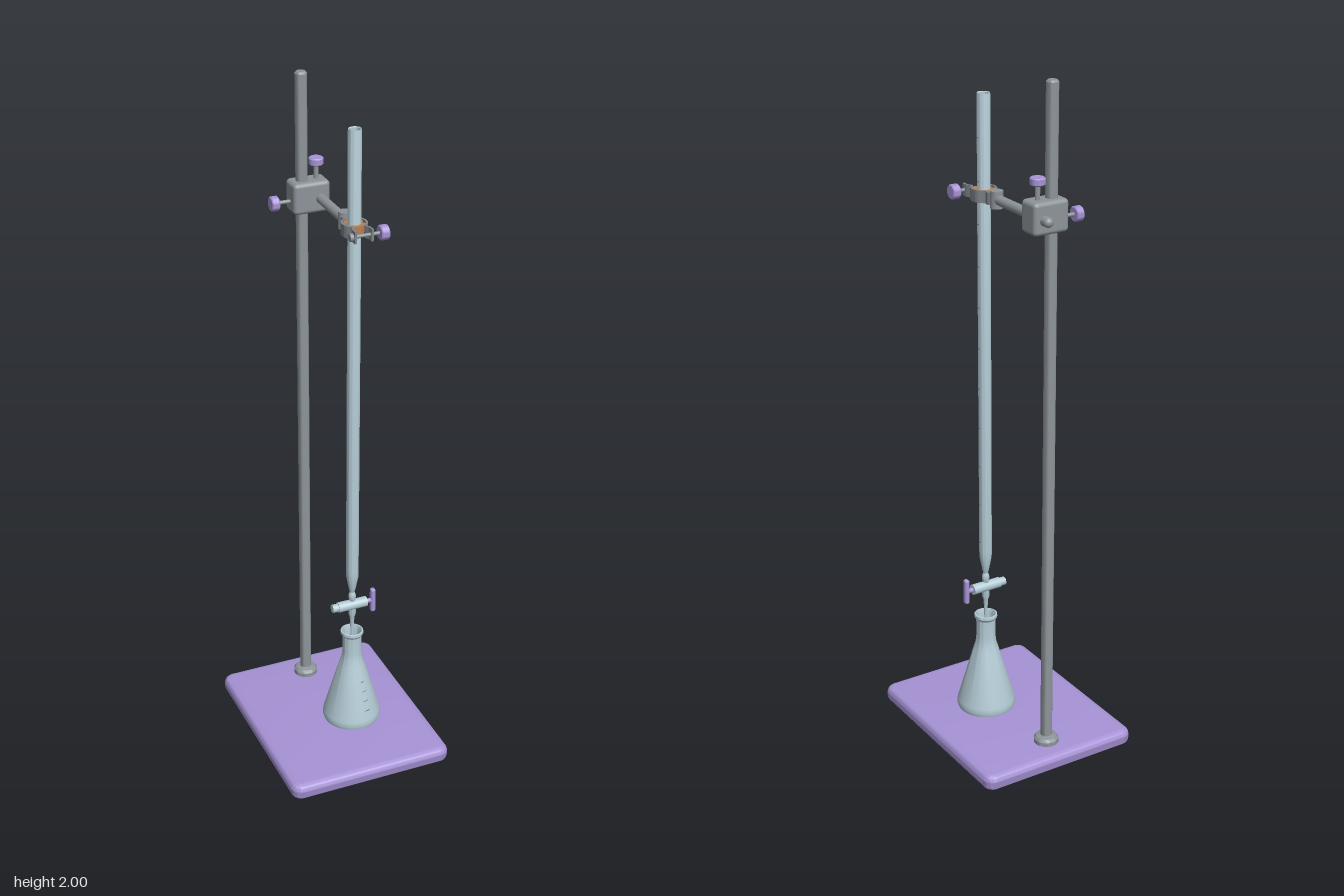
import * as THREE from 'three';
import { toCreasedNormals } from 'three/addons/utils/BufferGeometryUtils.js';
import { RoundedBoxGeometry } from 'three/addons/geometries/RoundedBoxGeometry.js';

const mat = (name, color, side = THREE.FrontSide) => {
  const m = new THREE.MeshStandardMaterial({ color, side });
  m.name = name;
  return m;
};

export function createModel() {
  const root = new THREE.Group();
  root.name = 'titrationStand';
  const lilac = mat('lilac', 0xa793d6);
  const metal = mat('metal', 0x8d9499);
  const jawMetal = mat('jawMetal', 0x7d848a);
  const glass = mat('glass', 0xb3cad4, THREE.DoubleSide);
  const cork = mat('cork', 0xb9804f);
  const ink = mat('ink', 0x56626b, THREE.DoubleSide);

  const RX = 0, RZ = -0.222;       // upright rod axis
  const BX = 0.043, BZ = 0.042;    // burette axis
  const CY = 1.645;                // clamp height

  const add = (name, geo, material, x = 0, y = 0, z = 0, parent = root) => {
    const m = new THREE.Mesh(geo, material);
    m.name = name;
    m.position.set(x, y, z);
    parent.add(m);
    return m;
  };
  const lathe = (pts, seg = 40) => toCreasedNormals(
    new THREE.LatheGeometry(pts.map(p => new THREE.Vector2(p[0], p[1])), seg), 0.6);
  // Cylinder running from a to b along one axis
  const bar = (name, axis, a, b, r, material, x, y, z) => {
    const g = new THREE.CylinderGeometry(r, r, b - a, 28);
    if (axis === 'x') g.rotateZ(-Math.PI / 2);
    if (axis === 'z') g.rotateX(Math.PI / 2);
    const p = { x, y, z };
    p[axis] = (a + b) / 2;
    return add(name, g, material, p.x, p.y, p.z);
  };
  // Knob with softened rims, along x or y
  const knob = (name, axis, a, b, r, x, y, z) => {
    const h = b - a, c = 0.003;
    const g = lathe([[0, -h / 2], [r - c, -h / 2], [r, -h / 2 + c], [r, h / 2 - c], [r - c, h / 2], [0, h / 2]], 28);
    if (axis === 'x') g.rotateZ(-Math.PI / 2);
    const p = { x, y, z };
    p[axis] = (a + b) / 2;
    return add(name, g, lilac, p.x, p.y, p.z);
  };

  // Base plate: rounded outline with rolled edges
  const w = 0.23, d = 0.288, c = 0.012;
  const plate = new THREE.Shape();
  plate.moveTo(-w + c, -d);
  plate.lineTo(w - c, -d);
  plate.absarc(w - c, -d + c, c, -Math.PI / 2, 0);
  plate.absarc(w - c, d - c, c, 0, Math.PI / 2);
  plate.absarc(-w + c, d - c, c, Math.PI / 2, Math.PI);
  plate.absarc(-w + c, -d + c, c, Math.PI, Math.PI * 1.5);
  const base = new THREE.ExtrudeGeometry(plate, {
    depth: 0.01, bevelEnabled: true, bevelThickness: 0.02, bevelSize: 0.02, bevelSegments: 6, curveSegments: 8,
  });
  base.rotateX(-Math.PI / 2);
  add('base', toCreasedNormals(base, 0.7), lilac, 0, 0.02, 0);

  // Upright rod and its foot collar
  add('uprightRod', lathe([[0.017, 0.04], [0.017, 1.995], [0.013, 2], [0, 2]], 32), metal, RX, 0, RZ);
  add('rodCollar', lathe([[0.036, 0.045], [0.036, 0.062], [0.03, 0.07], [0.017, 0.074]], 32), metal, RX, 0, RZ);

  // Boss head with two clamping screws and the horizontal arm
  add('bossHead', new RoundedBoxGeometry(0.108, 0.09, 0.069, 4, 0.012), metal, 0.019, 1.648, RZ);
  bar('sideScrew', 'x', -0.075, -0.03, 0.0055, metal, 0, 1.636, RZ);
  knob('sideKnob', 'x', -0.093, -0.07, 0.021, 0, 1.636, RZ);
  bar('topScrew', 'y', 1.68, 1.737, 0.007, metal, BX, 0, RZ);
  knob('topKnob', 'y', 1.732, 1.753, 0.021, BX, 0, RZ);
  const arm = new THREE.CapsuleGeometry(0.014, 0.235, 8, 24);
  arm.rotateX(Math.PI / 2);
  add('clampArm', arm, metal, BX, CY, -0.155);
  bar('jawHinge', 'y', CY - 0.024, CY + 0.024, 0.018, metal, BX, 0, -0.023);

  // Curved jaws: a band of constant thickness along a plan path
  const path = new THREE.CatmullRomCurve3([
    [0.007, -0.062], [0.016, -0.047], [0.013, -0.034], [0.027, -0.02], [0.033, 0],
    [0.028, 0.019], [0.018, 0.032], [0.024, 0.048], [0.024, 0.066],
  ].map(p => new THREE.Vector3(p[0], -p[1], 0)));
  for (const s of [1, -1]) {
    const outer = [], inner = [];
    for (let i = 0; i <= 40; i++) {
      const p = path.getPoint(i / 40), t = path.getTangent(i / 40);
      outer.push(new THREE.Vector2(s * (p.x - t.y * 0.003), p.y + t.x * 0.003));
      inner.push(new THREE.Vector2(s * (p.x + t.y * 0.003), p.y - t.x * 0.003));
    }
    const band = new THREE.ExtrudeGeometry(new THREE.Shape([...outer, ...inner.reverse()]), { depth: 0.034, bevelEnabled: false });
    band.rotateX(-Math.PI / 2);
    add(s > 0 ? 'leftJaw' : 'rightJaw', toCreasedNormals(band, 0.6), jawMetal, BX, CY - 0.017, BZ);

    // Cork lining, front and back
    const pad = new THREE.Shape();
    const a0 = s * Math.PI / 2 - 1.3, a1 = s * Math.PI / 2 + 1.3;
    pad.absarc(0, 0, 0.03, a0, a1, false);
    pad.absarc(0, 0, 0.018, a1, a0, true);
    const padGeo = new THREE.ExtrudeGeometry(pad, { depth: 0.028, bevelEnabled: false, curveSegments: 24 });
    padGeo.rotateX(-Math.PI / 2);
    add(s > 0 ? 'backCorkPad' : 'frontCorkPad', toCreasedNormals(padGeo, 0.6), cork, BX, CY - 0.014, BZ);
  }
  bar('jawScrew', 'x', 0.008, 0.095, 0.005, metal, 0, CY, 0.099);
  bar('jawScrewNut', 'x', 0.004, 0.014, 0.011, metal, 0, CY, 0.099);
  knob('jawKnob', 'x', 0.09, 0.114, 0.021, 0, CY, 0.099);

  // Burette: open glass tube tapering into the stopcock, then the drip tip
  add('buretteTube', lathe([
    [0.006, 0.46], [0.011, 0.478], [0.0105, 0.488], [0.007, 0.497], [0.01, 0.508], [0.018, 0.55],
    [0.0185, 0.57], [0.0185, 1.915], [0.0175, 1.92], [0.015, 1.918], [0.0145, 1.6],
  ]), glass, BX, 0, BZ);
  add('buretteLiquid', lathe([[0.0147, 1.6], [0.0147, 1.79], [0.009, 1.785], [0, 1.784]], 28), lilac, BX, 0, BZ);
  add('dripTip', lathe([[0, 0.33], [0.004, 0.33], [0.0055, 0.385], [0.0075, 0.41], [0.011, 0.42], [0.011, 0.46]], 24), glass, BX, 0, BZ);

  // Stopcock across the tube
  bar('stopcockBarrel', 'x', -0.003, 0.088, 0.0155, glass, 0, 0.452, BZ);
  bar('stopcockEnd', 'x', -0.021, 0, 0.0125, glass, 0, 0.452, BZ);
  bar('stopcockStem', 'x', 0.08, 0.108, 0.007, lilac, 0, 0.452, BZ);
  add('stopcockHandle', new RoundedBoxGeometry(0.015, 0.078, 0.018, 3, 0.006), lilac, 0.109, 0.452, BZ);

  // Conical flask with rolled lip and open neck
  add('flask', lathe([
    [0, 0.05], [0.075, 0.05], [0.084, 0.055], [0.0875, 0.066], [0.085, 0.08], [0.038, 0.245],
    [0.031, 0.268], [0.0285, 0.29], [0.0285, 0.345], [0.034, 0.353], [0.0335, 0.361], [0.029, 0.362],
    [0.025, 0.35], [0.025, 0.28], [0.03, 0.25], [0.065, 0.13],
  ], 48), glass, BX, 0, BZ);
  add('flaskLiquid', new THREE.CylinderGeometry(0.066, 0.08, 0.05, 40), lilac, BX, 0.098, BZ);

  // Graduation marks: narrow arcs hugging the glass on its front left
  const mark = (name, y, rTop, rBottom, h, start, sweep) =>
    add(name, new THREE.CylinderGeometry(rTop, rBottom, h, 10, 1, true, start, sweep), ink, BX, y, BZ);
  for (let i = 0; i <= 50; i++) {
    const major = i % 5 === 0;
    mark('buretteMark', 0.6 + i * 0.024, 0.0188, 0.0188, 0.0016, 0.9, major ? 0.9 : 0.4);
  }
  for (let i = 0; i < 4; i++) {
    const y = 0.11 + i * 0.03, r = 0.0853 - (y - 0.08) * 0.285;
    mark('flaskMark', y, r + 0.0002, r + 0.0006, 0.0016, 0.15, 0.25);
  }
  return root;
}
